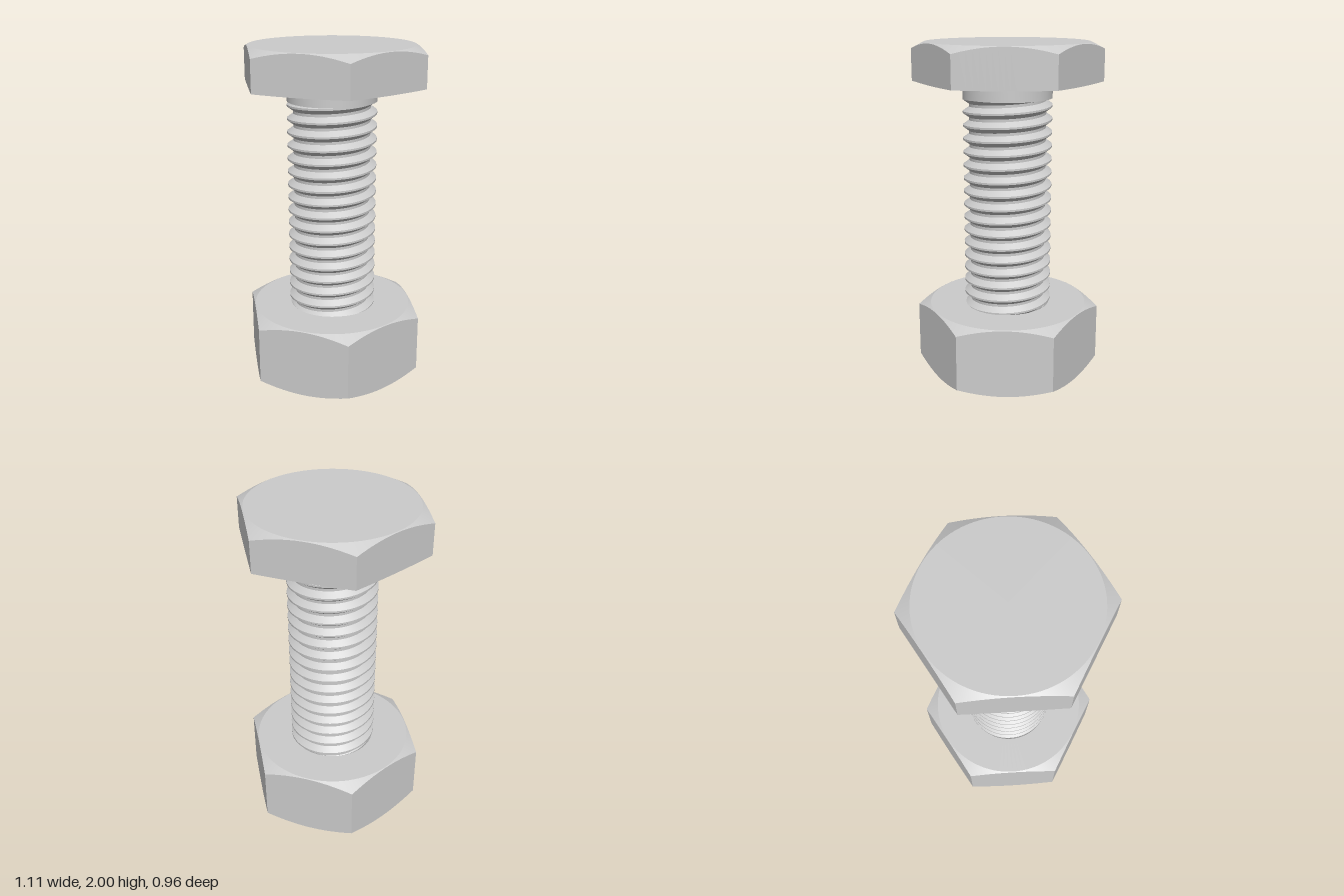
import * as THREE from 'three';
import { toCreasedNormals } from 'three/addons/utils/BufferGeometryUtils.js';

const SEG = 96;
const FLAT = 0.482;   // centre to hexagon flat
const DISC = 0.477;   // radius of the flat faces inside the chamfers
const CREST = 0.262, ROOT = 0.226, PITCH = 0.079;
const THREAD_TOP = 1.68;

// Sweeps rows round the y axis; each row is [r, y] or a function of the angle giving [r, y].
function sweep(rows) {
  const pts = rows.map(row => Array.from({ length: SEG + 1 }, (_, j) => {
    const t = j / SEG * Math.PI * 2;
    const [r, y] = typeof row === 'function' ? row(t) : row;
    return new THREE.Vector3(r * Math.cos(t), y, -r * Math.sin(t));
  }));
  const pos = [];
  const tri = new THREE.Triangle();
  const add = (a, b, c) => {
    tri.set(a, b, c);
    if (tri.getArea() > 1e-9) for (const p of [a, b, c]) pos.push(p.x, p.y, p.z);
  };
  for (let i = 0; i < pts.length - 1; i++) {
    for (let j = 0; j < SEG; j++) {
      const a = pts[i][j], b = pts[i][j + 1], c = pts[i + 1][j], d = pts[i + 1][j + 1];
      add(a, b, c);
      add(b, d, c);
    }
  }
  const geo = new THREE.BufferGeometry();
  geo.setAttribute('position', new THREE.Float32BufferAttribute(pos, 3));
  return toCreasedNormals(geo, 0.3);
}

// Hexagon edge where a cone starting at the disc edge (height y, given slope) cuts the flats.
function hexEdge(y, slope) {
  return t => {
    const sector = Math.PI / 3;
    const r = FLAT / Math.cos((t % sector) - sector / 2);
    return [r, y + slope * (r - DISC)];
  };
}

// Thread outline over one pitch: [fraction, radius]
const OUTLINE = [[0, ROOT], [0.2, ROOT], [0.53, CREST], [0.67, CREST], [1, ROOT]];

function threadRadius(f) {
  f -= Math.floor(f);
  const k = OUTLINE.findIndex((p, i) => i > 0 && f <= p[0] + 1e-9);
  const [f0, r0] = OUTLINE[k - 1], [f1, r1] = OUTLINE[k];
  return THREE.MathUtils.lerp(r0, r1, (f - f0) / (f1 - f0));
}

// Right-hand helical rows, clipped at both ends and tapered at the tip
function threadRows() {
  const start = 1.61 - 0.6 * PITCH - 22 * PITCH;
  const rows = [];
  for (let n = 0; n < 26; n++) {
    for (const [f] of OUTLINE.slice(0, 4)) {
      rows.push(t => {
        const turn = t / (Math.PI * 2);
        const y = THREE.MathUtils.clamp(start + (n + f + turn) * PITCH, 0, THREAD_TOP);
        const r = threadRadius((y - start) / PITCH - turn);
        return [Math.min(r, 0.207 + y), y];
      });
    }
  }
  return rows;
}

export function createModel() {
  const group = new THREE.Group();
  const material = new THREE.MeshStandardMaterial({ color: 0xcccccc });
  const part = (name, rows) => {
    const mesh = new THREE.Mesh(sweep(rows), material);
    mesh.name = name;
    group.add(mesh);
  };

  // Threaded rod with a plain neck under the head
  part('shank', [[0, 0], ...threadRows(), [CREST, THREAD_TOP], [CREST, 1.78]]);

  // Bolt head: chamfered on top, barely relieved below
  part('boltHead', [
    [0, 1.769], [DISC, 1.769], hexEdge(1.769, 0.06),
    hexEdge(2, -0.52), [DISC, 2], [0, 2],
  ]);

  // Nut: chamfered on both faces, with a countersunk hole
  part('nut', [
    [0.23, 0.40], [0.23, 0.03], [0.255, 0.005], [DISC, 0.005], hexEdge(0.005, 0.52),
    hexEdge(0.423, -0.52), [DISC, 0.423], [0.255, 0.423], [0.23, 0.40],
  ]);
  return group;
}
